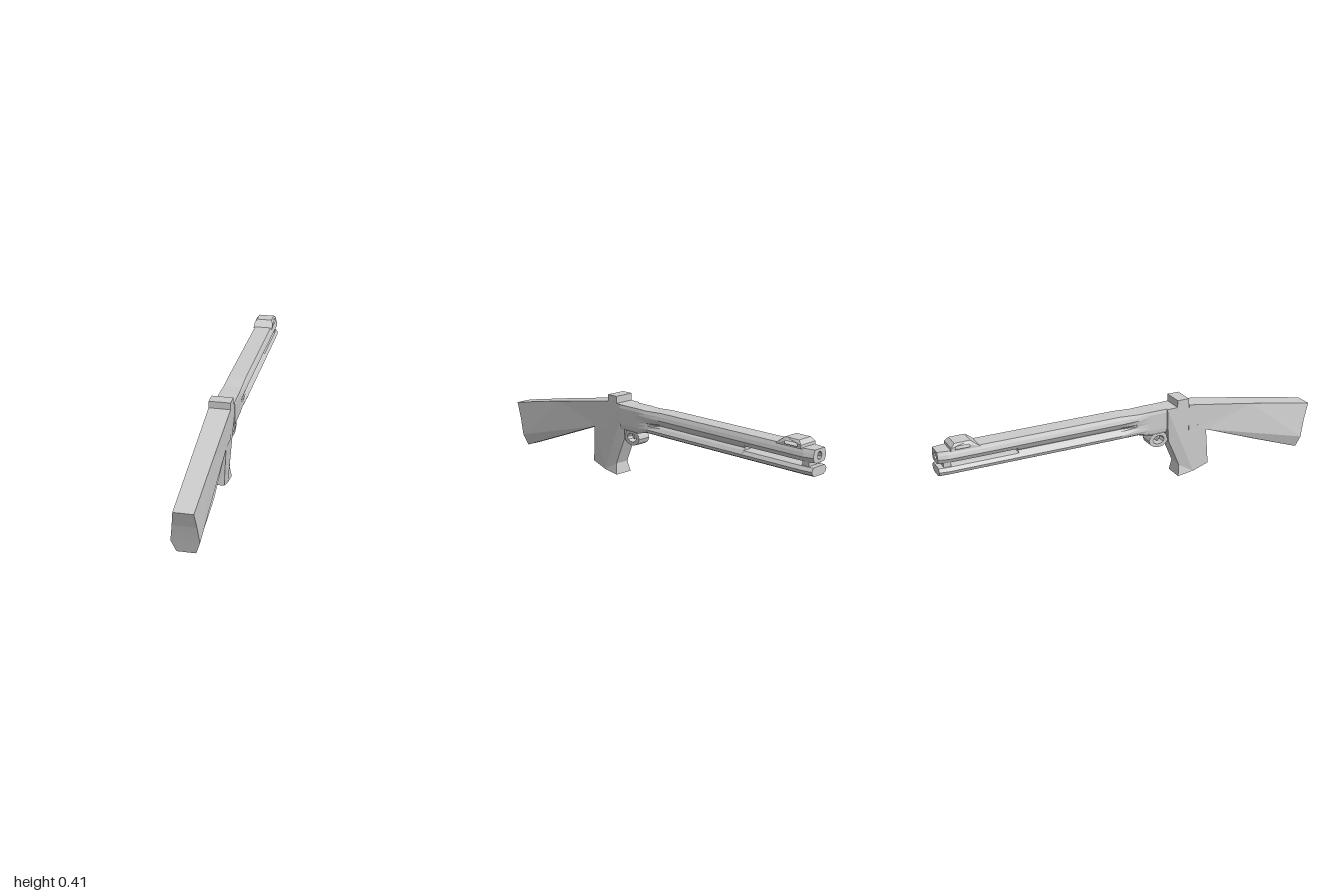
import * as THREE from 'three';

const material = new THREE.MeshStandardMaterial({ color: 0xcccccc, flatShading: true });
const V = (a) => a.map(([x, y]) => new THREE.Vector2(x, y));
const lerp = THREE.MathUtils.lerp;

function mesh(name, geometry) {
  geometry.computeVertexNormals();
  const m = new THREE.Mesh(geometry, material);
  m.name = name;
  return m;
}

// Extrudes a (z, y) side profile across x; range(z, y) gives the two x limits.
function sideExtrude(name, points, range, holes = []) {
  const shape = new THREE.Shape(V(points));
  holes.forEach((h) => shape.holes.push(new THREE.Path(V(h))));
  const g = new THREE.ExtrudeGeometry(shape, { depth: 1, bevelEnabled: false });
  g.translate(0, 0, -0.5).rotateY(-Math.PI / 2);
  const p = g.attributes.position;
  for (let i = 0; i < p.count; i++) {
    const [lo, hi] = range(p.getZ(i), p.getY(i));
    p.setX(i, p.getX(i) < 0 ? lo : hi);
  }
  return mesh(name, g);
}

// Extrudes an (x, y) section from z = front to z = back, pinching the front end.
function tube(name, points, front, back, cx, pinch, bore) {
  const shape = new THREE.Shape(V(points));
  if (bore) {
    const hole = Array.from({ length: 8 }, (_, i) => {
      const a = (i + 0.5) * Math.PI / 4;
      return [cx + bore * Math.cos(a), 0.35 + bore * Math.sin(a)];
    });
    shape.holes.push(new THREE.Path(V(hole)));
  }
  const g = new THREE.ExtrudeGeometry(shape, { depth: back - front, steps: 8, bevelEnabled: false });
  g.translate(0, 0, front);
  const p = g.attributes.position;
  for (let i = 0; i < p.count; i++) {
    if (p.getZ(i) < front + 0.01) p.setX(i, cx + (p.getX(i) - cx) * pinch);
  }
  return mesh(name, g);
}

const CX = 0.003;
const mirrored = (half) => [
  ...half.map(([x, y]) => [CX + x, y]),
  ...[...half].reverse().map(([x, y]) => [CX - x, y]),
];

// Joins equal-sized (x, y) sections, ordered from back to front, and caps both ends.
function loft(name, sections) {
  const n = sections[0].points.length, pos = [], idx = [];
  sections.forEach((s) => s.points.forEach(([x, y]) => pos.push(x, y, s.z)));
  for (let s = 0; s < sections.length - 1; s++) {
    for (let i = 0; i < n; i++) {
      const a = s * n + i, b = s * n + (i + 1) % n;
      idx.push(a, b, a + n, b, b + n, a + n);
    }
  }
  const last = (sections.length - 1) * n;
  THREE.ShapeUtils.triangulateShape(V(sections[0].points), []).forEach(([a, b, c]) => {
    const [p, q, r] = [a, b, c].map((i) => sections[0].points[i]);
    const ccw = (q[0] - p[0]) * (r[1] - p[1]) - (q[1] - p[1]) * (r[0] - p[0]) > 0;
    idx.push(...(ccw ? [a, b, c] : [a, c, b]));
    idx.push(...(ccw ? [a, c, b] : [a, b, c]).map((i) => i + last));
  });
  const g = new THREE.BufferGeometry();
  g.setAttribute('position', new THREE.Float32BufferAttribute(pos, 3));
  g.setIndex(idx);
  return mesh(name, g.toNonIndexed());
}

export function createModel() {
  const model = new THREE.Group();
  model.name = 'longGun';

  // Stock: widest low on the butt, narrower along its top and toe
  const stock = [[1, 0.25], [0.64, 0.317], [0.27, 0.38], [0.27, 0.23], [0.37, 0.23], [0.65, 0.125],
    [0.93, 0.02], [0.945, 0.08], [0.957, 0.125], [0.97, 0.17]];
  model.add(sideExtrude('stock', stock, (z, y) => {
    const t = THREE.MathUtils.clamp((z - 0.27) / 0.66, 0, 1);
    const up = THREE.MathUtils.clamp((y - 0.08) / 0.17, 0, 1);
    const toe = y < 0.05;
    const lo = toe ? -0.043 : lerp(-0.064, -0.037, up);
    const hi = toe ? 0.042 : lerp(0.063, 0.053, up);
    return [lerp(-0.054, lo, t), lerp(0.05, hi, t)];
  }));

  // Receiver and grip: the front of the grip is slimmer
  const receiver = [[0.27, 0.38], [0.15, 0.376], [0.15, 0.25], [0.165, 0.2], [0.2, 0.12], [0.225, 0.06],
    [0.215, 0.005], [0.3, 0.017], [0.385, 0.045], [0.37, 0.23], [0.27, 0.3]];
  model.add(sideExtrude('receiverAndGrip', receiver, (z, y) =>
    (y < 0.22 && y > 0.05 && z < 0.23 ? [-0.04, 0.036] : [-0.053, y < 0.1 ? 0.044 : 0.05])));

  // Rear sight block
  const rear = new THREE.BoxGeometry(0.104, 0.045, 0.062);
  rear.translate(-0.002, 0.391, 0.236);
  model.add(mesh('rearSight', rear));

  // Fore body: the receiver flows into the joined barrel and magazine
  const block = [[0.046, 0.376], [0.05, 0.36], [0.05, 0.345], [0.05, 0.325], [0.05, 0.313],
    [0.05, 0.3], [0.05, 0.28], [0.048, 0.262], [0.04, 0.25]];
  const neck = [[0.044, 0.374], [0.05, 0.36], [0.053, 0.345], [0.05, 0.325], [0.048, 0.313],
    [0.05, 0.302], [0.053, 0.285], [0.048, 0.272], [0.036, 0.264]];
  const twin = [[0.043, 0.38], [0.051, 0.363], [0.056, 0.345], [0.045, 0.324], [0.034, 0.313],
    [0.045, 0.304], [0.057, 0.286], [0.05, 0.27], [0.034, 0.262]];
  model.add(loft('foreBody', [[0.18, block], [0.06, block], [0, neck], [-0.1, twin], [-0.62, twin]]
    .map(([z, half]) => ({ z, points: mirrored(half) }))));

  // Barrel with open bore, magazine tube beneath it and the band between them
  const barrel = [[0.043, 0.38], [0.051, 0.363], [0.056, 0.345], [0.045, 0.324], [0.025, 0.319]];
  const magazine = [[0.025, 0.304], [0.045, 0.302], [0.057, 0.286], [0.05, 0.27], [0.034, 0.262]];
  model.add(tube('barrel', mirrored(barrel).reverse(), -1, -0.62, CX, 0.8, 0.019));
  model.add(tube('magazineTube', mirrored(magazine).reverse(), -1, -0.62, CX, 0.9));
  const band = new THREE.BoxGeometry(0.08, 0.03, 0.035);
  band.translate(CX, 0.312, -0.958);
  model.add(mesh('barrelBand', band));

  // Front sight: a low bridge with a slot through it
  model.add(sideExtrude('frontSight',
    [[-0.8, 0.375], [-0.94, 0.375], [-0.938, 0.392], [-0.92, 0.41], [-0.845, 0.411], [-0.825, 0.395]],
    (z, y) => (y > 0.405 ? [-0.037, 0.043] : [-0.047, 0.054]),
    [[[-0.85, 0.383], [-0.92, 0.383], [-0.913, 0.397], [-0.855, 0.397]]]));

  // Trigger guard ring with a curved trigger inside
  const ring = (rz, ry, n) => Array.from({ length: n }, (_, i) => {
    const a = (i / n) * Math.PI * 2;
    return [0.113 + rz * Math.cos(a), 0.217 + ry * Math.sin(a)];
  });
  model.add(sideExtrude('triggerGuard', ring(0.053, 0.039, 12), () => [-0.033, 0.035], [ring(0.031, 0.022, 10)]));
  model.add(sideExtrude('trigger',
    [[0.135, 0.245], [0.112, 0.245], [0.117, 0.222], [0.108, 0.207], [0.117, 0.204], [0.128, 0.22]],
    () => [-0.012, 0.014]));

  return model;
}
